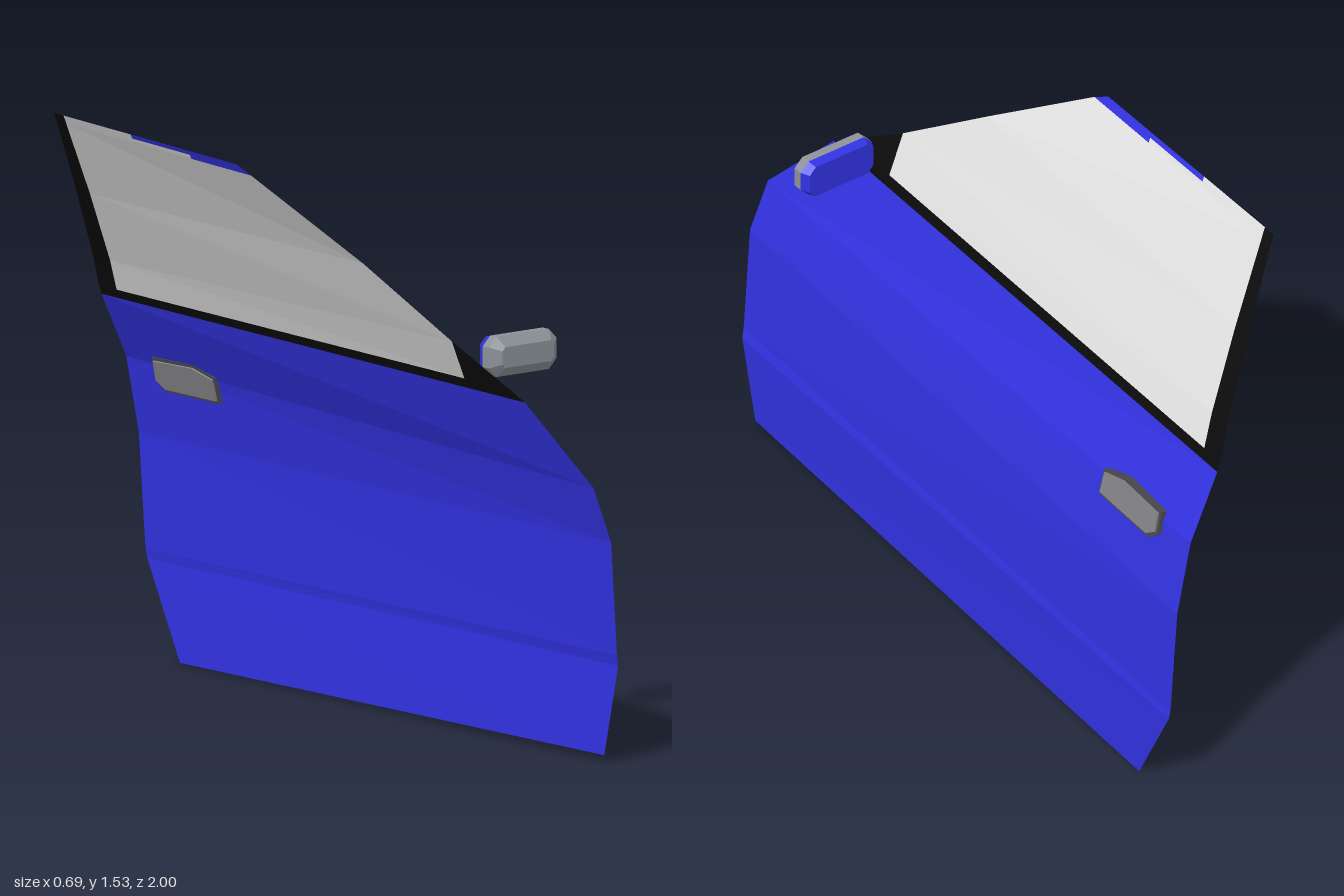
import * as THREE from 'three';

const mat = (name, color) => {
  const m = new THREE.MeshStandardMaterial({ color, flatShading: true, side: THREE.DoubleSide });
  m.name = name;
  return m;
};

// Sheet lofted between rows of points; rows run bottom to top, points front to rear
function sheet(name, material, rows) {
  const pos = [];
  const tri = (...ps) => ps.forEach(p => pos.push(p.x, p.y, p.z));
  for (let r = 0; r + 1 < rows.length; r++) {
    for (let c = 0; c + 1 < rows[r].length; c++) {
      const a = rows[r][c], b = rows[r][c + 1], d = rows[r + 1][c + 1], e = rows[r + 1][c];
      if (a.distanceTo(b) > 1e-4) tri(a, b, d);
      if (d.distanceTo(e) > 1e-4) tri(a, d, e);
    }
  }
  const g = new THREE.BufferGeometry();
  g.setAttribute('position', new THREE.Float32BufferAttribute(pos, 3));
  g.computeVertexNormals();
  const mesh = new THREE.Mesh(g, material);
  mesh.name = name;
  return mesh;
}

const row = (f, r) => [new THREE.Vector3(...f), new THREE.Vector3(...r)];
// Point on a row at a given z
const at = ([f, r], z) => f.clone().lerp(r, THREE.MathUtils.clamp((f.z - z) / (f.z - r.z), 0, 1));

// Ring of a chamfered rectangle
function ring(w, h, z, c) {
  const pts = [[w, -h + c], [w, h - c], [w - c, h], [c - w, h], [-w, h - c], [-w, c - h], [c - w, -h], [w - c, -h]];
  return [...pts, pts[0]].map(([x, y]) => new THREE.Vector3(x, y, z));
}

function plate(name, material, pts, scale, depth) {
  const shape = new THREE.Shape(pts.map(([x, y]) => new THREE.Vector2(x * scale[0], y * scale[1])));
  const g = new THREE.ExtrudeGeometry(shape, { depth, bevelEnabled: false });
  g.translate(0, 0, -depth / 2);
  const mesh = new THREE.Mesh(g, material);
  mesh.name = name;
  return mesh;
}

export function createModel() {
  const blue = mat('blue paint', 0x3232e2);
  const black = mat('black trim', 0x0a0a0a);
  const glass = mat('window grey', 0xe2e2e2);
  const grey = mat('mirror grey', 0x8c9298);
  const handleGrey = mat('handle grey', 0x828286);
  const dark = mat('handle edge', 0x48484e);
  const door = new THREE.Group();
  door.name = 'door';

  // Lower body panel
  const belt = row([-0.28, 0.962, 0.77], [0.18, 0.99, -1]);
  door.add(sheet('doorPanel', blue, [
    row([-0.17, 0.02, 0.95], [0.305, 0, -0.835]),
    row([-0.172, 0.265, 0.998], [0.345, 0.26, -0.975]),
    row([-0.18, 0.295, 1], [0.341, 0.285, -0.978]),
    row([-0.205, 0.6, 1], [0.325, 0.6, -0.988]),
    row([-0.248, 0.75, 0.975], [0.28, 0.81, -0.995]),
    belt,
  ]));

  // Window frame rows, each with the z where the rear pillar begins
  const sill = row([-0.281, 0.99, 0.722], [0.167, 1.015, -0.998]);
  const corner = row([-0.285, 1.1, 0.53], [0.125, 1.1, -0.985]);
  const middle = row([-0.305, 1.28, 0.25], [0, 1.3, -0.945]);
  const upper = row([-0.35, 1.485, -0.09], [-0.138, 1.51, -0.904]);
  const top = row([-0.35, 1.51, -0.14], [-0.155, 1.535, -0.9]);
  const between = [0, 1].map(i => upper[i].clone().lerp(top[i], 0.5));
  const rows = [sill, corner, middle, upper, between, top];
  const pillarZ = [-0.925, -0.914, -0.888, -0.863, -0.861, -0.86];
  const span = (i, z0) => [at(rows[i], z0), at(rows[i], pillarZ[i])];

  door.add(
    sheet('windowSill', black, [belt, sill]),
    sheet('frontQuarterTrim', black, [[sill[0], at(sill, 0.53)], [corner[0], corner[0]]]),
    sheet('rearPillar', black, rows.map((r, i) => [at(r, pillarZ[i]), r[1]])),
    sheet('window', glass, [0, 1, 2, 3].map(i => span(i, 0.53))),
    sheet('windowTopLower', glass, [span(3, -0.34), span(4, -0.34)]),
    sheet('windowTopUpper', glass, [span(4, -0.58), span(5, -0.58)]),
    sheet('roofEdgeLower', blue, [[upper[0], at(upper, -0.34)], [between[0], at(between, -0.34)]]),
    sheet('roofEdgeUpper', blue, [[between[0], at(between, -0.58)], [top[0], at(top, -0.58)]]),
  );

  // Door handle, aligned with the panel
  const handle = new THREE.Group();
  handle.name = 'doorHandle';
  const outline = [[-0.13, -0.045], [0.1, -0.045], [0.135, -0.02], [0.13, 0.04], [-0.045, 0.045], [-0.13, 0.022]];
  handle.add(
    plate('handleSurround', dark, outline, [1.03, 1.1], 0.022),
    plate('handleGrip', handleGrey, outline, [0.96, 0.9], 0.034),
  );
  handle.rotation.set(-0.25, 1.313, 0, 'YXZ');
  handle.position.set(0.217, 0.787, -0.737);
  door.add(handle);

  // Wing mirror: grey shell in front, painted rear
  const mirror = new THREE.Group();
  mirror.name = 'wingMirror';
  const back = ring(0.105, 0.047, -0.037, 0.02);
  const mid = ring(0.117, 0.054, -0.012, 0.026);
  const fore = ring(0.117, 0.054, 0.014, 0.026);
  const face = ring(0.09, 0.028, 0.037, 0.01);
  const point = z => Array.from({ length: 9 }, () => new THREE.Vector3(0, 0, z));
  mirror.add(
    sheet('mirrorShell', grey, [mid, fore, face, point(0.037)]),
    sheet('mirrorBack', blue, [point(-0.037), back, mid]),
  );
  mirror.rotation.y = -0.2;
  mirror.position.set(-0.107, 1.055, 0.617);
  door.add(mirror);

  return door;
}
